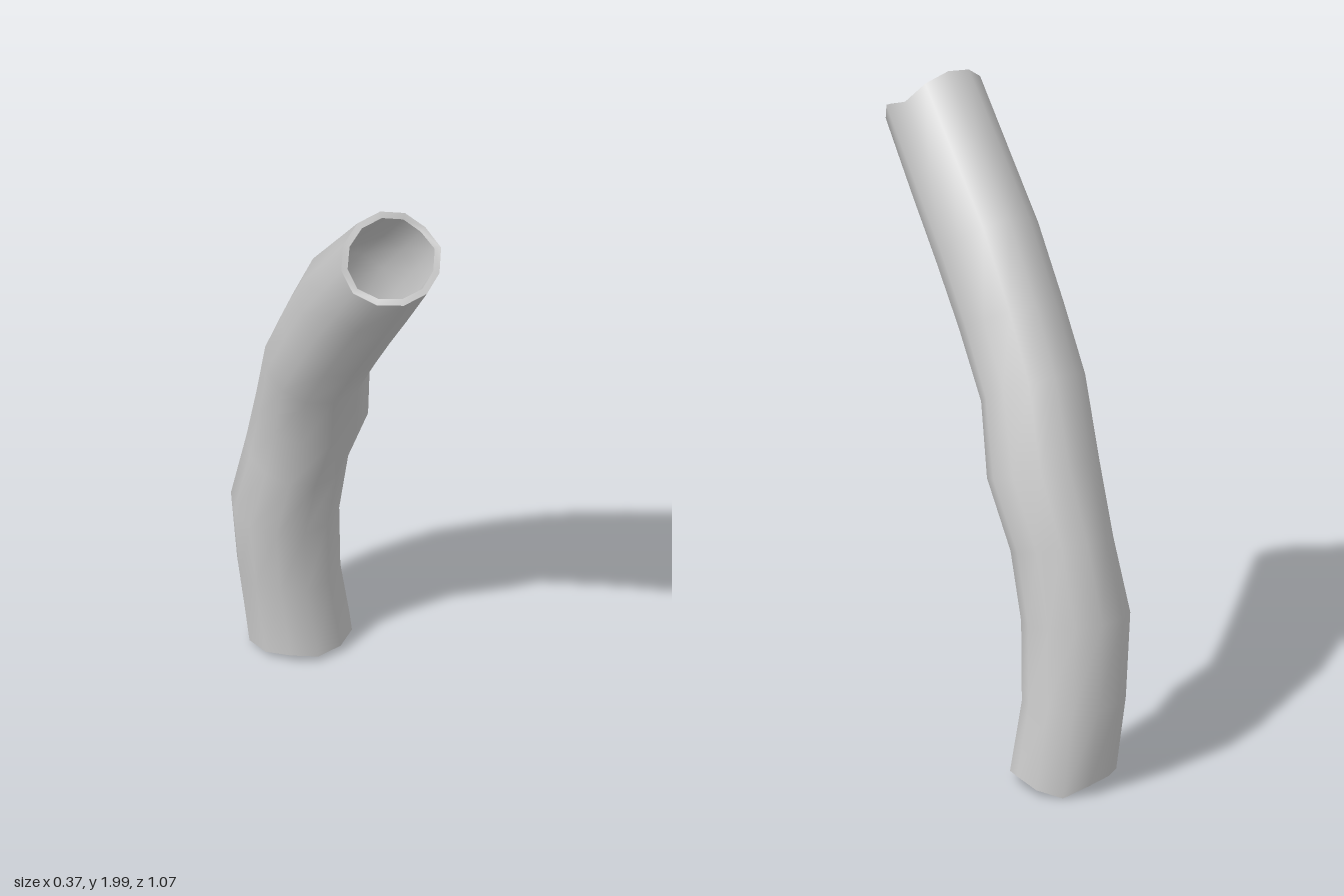
import * as THREE from 'three';

const SIDES = 12;
const WALL = 0.02;

// Cross-sections, bottom to top: front z, front y, back z, back y, right x, left x
const SECTIONS = [
  [-0.215, 0.02, -0.52, 0.03, 0.18, -0.135],
  [-0.235, 0.25, -0.53, 0.27, 0.15, -0.16],
  [-0.2, 0.48, -0.51, 0.53, 0.135, -0.19],
  [-0.16, 0.68, -0.46, 0.77, 0.145, -0.158],
  [-0.07, 0.88, -0.37, 0.99, 0.175, -0.165],
  [0, 1.08, -0.26, 1.23, 0.147, -0.175],
  [0.14, 1.265, -0.15, 1.42, 0.145, -0.17],
  [0.25, 1.41, 0, 1.645, 0.15, -0.165],
  [0.385, 1.58, 0.18, 1.825, 0.15, -0.163],
  [0.54, 1.78, 0.35, 1.995, 0.15, -0.16],
];
// Ragged ends: shift of each corner along the tube, from +x round by the front
const BOTTOM_SHIFT = [0.02, 0.01, 0.005, 0, 0.01, 0, -0.005, 0.01, 0.015, 0.005, -0.025, -0.005];
const TOP_SHIFT = [0, -0.01, 0, 0, -0.01, -0.03, -0.02, -0.005, 0, 0, -0.015, -0.035];

// One ring of points, inset from the outer surface
function makeRing(section, inset, shift) {
  const [fz, fy, bz, by, right, left] = section;
  const centre = new THREE.Vector3((right + left) / 2, (fy + by) / 2, (fz + bz) / 2);
  const toFront = new THREE.Vector3(0, (fy - by) / 2, (fz - bz) / 2);
  const depth = toFront.length() - inset;
  toFront.normalize();
  const along = new THREE.Vector3(0, toFront.z, -toFront.y);
  const width = (right - left) / 2 - inset;
  return Array.from({ length: SIDES }, (_, k) => {
    const a = (k / SIDES) * Math.PI * 2;
    const p = centre.clone().addScaledVector(toFront, Math.sin(a) * depth);
    p.x += Math.cos(a) * width;
    return shift ? p.addScaledVector(along, shift[k]) : p;
  });
}

// Closed skin through a list of rings
function skin(rings, name, material) {
  const index = [];
  for (let i = 0; i < rings.length - 1; i++) {
    for (let k = 0; k < SIDES; k++) {
      const a = i * SIDES + k;
      const b = i * SIDES + ((k + 1) % SIDES);
      index.push(a, a + SIDES, b, b, a + SIDES, b + SIDES);
    }
  }
  const geometry = new THREE.BufferGeometry().setFromPoints(rings.flat());
  geometry.setIndex(index);
  geometry.computeVertexNormals();
  const mesh = new THREE.Mesh(geometry, material);
  mesh.name = name;
  return mesh;
}

export function createModel() {
  const group = new THREE.Group();
  group.name = 'bentTube';
  const material = new THREE.MeshStandardMaterial({ color: 0xcccccc });
  const last = SECTIONS.length - 1;
  const shiftAt = (i) => (i === 0 ? BOTTOM_SHIFT : i === last ? TOP_SHIFT : null);

  const outer = SECTIONS.map((s, i) => makeRing(s, 0, shiftAt(i)));
  const inner = SECTIONS.map((s, i) => makeRing(s, WALL, shiftAt(i)));

  // Walls and the rims that join them
  group.add(
    skin(outer, 'outerWall', material),
    skin([...inner].reverse(), 'innerWall', material),
    skin([outer[last], inner[last]], 'topRim', material),
    skin([inner[0], outer[0]], 'bottomRim', material),
  );
  return group;
}
